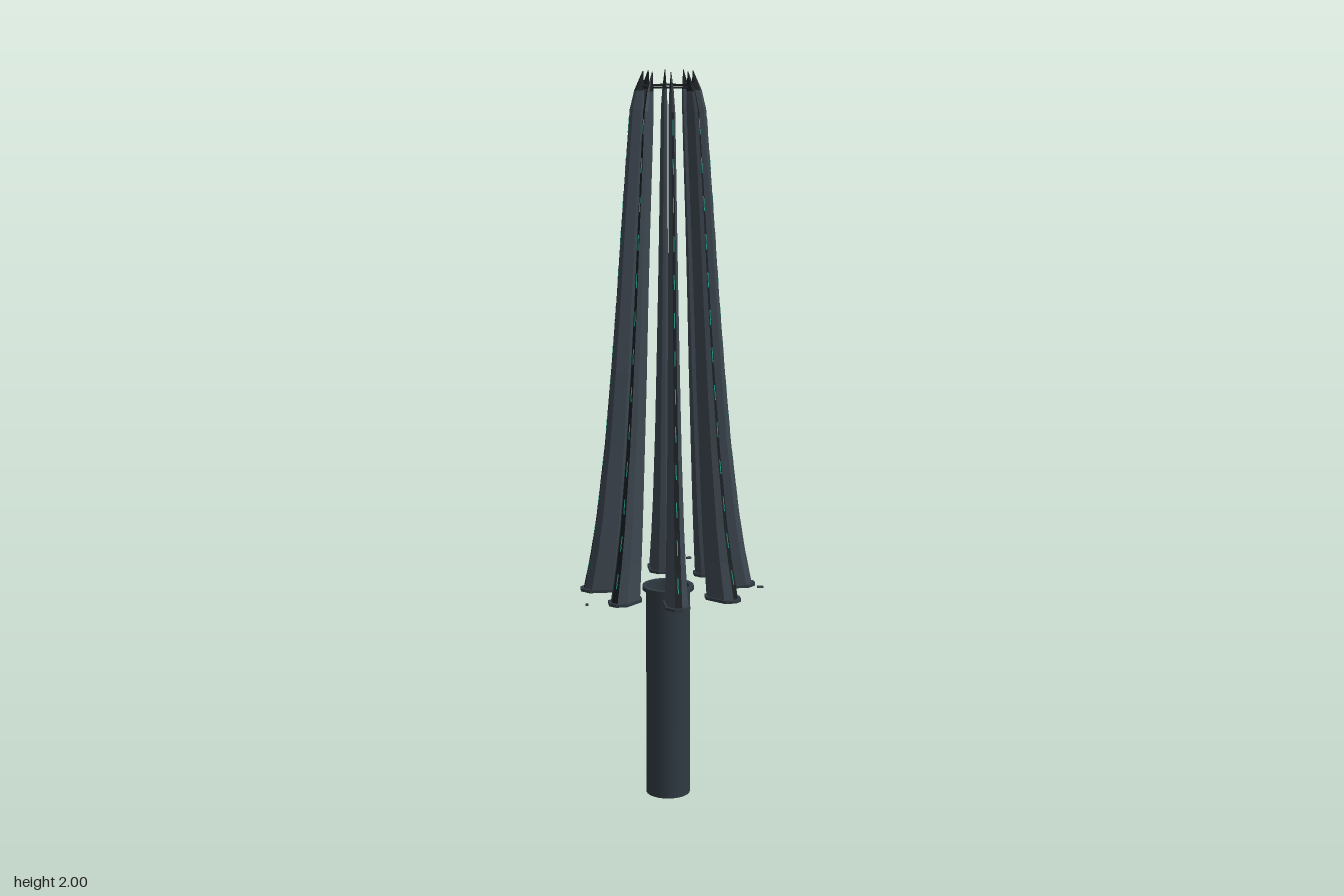
import * as THREE from 'three';

const mat = (name, color) => {
  const m = new THREE.MeshStandardMaterial({ color, side: THREE.DoubleSide });
  m.name = name;
  return m;
};

// rib stations: height, inner radius, outer radius, half width
const STATIONS = [
  [0.6, 0.14, 0.232, 0.028], [0.7, 0.13, 0.212, 0.024], [0.8, 0.122, 0.196, 0.021],
  [1.0, 0.11, 0.172, 0.017], [1.2, 0.099, 0.154, 0.0145], [1.4, 0.09, 0.138, 0.012],
  [1.6, 0.08, 0.124, 0.01], [1.8, 0.069, 0.109, 0.0085], [1.9, 0.064, 0.101, 0.0075],
  [1.95, 0.063, 0.089, 0.005], [2.0, 0.065, 0.067, 0.0008],
];

// long octagon in (radius, sideways); first edge is the outward flat
function octagon(inner, outer, b) {
  const c = (inner + outer) / 2, a = (outer - inner) / 2;
  const p = a * 0.6, q = b * 0.35;
  return [[a, -q], [a, q], [p, b], [-p, b], [-a, q], [-a, -q], [-p, -b], [p, -b]]
    .map(([r, t]) => [c + r, t]);
}

// flat-faced loft of the stations, keeping only the faces chosen by pick
function loft(pick) {
  const pos = [];
  for (let i = 0; i < STATIONS.length - 1; i++) {
    const [y0, ...s0] = STATIONS[i], [y1, ...s1] = STATIONS[i + 1];
    const lo = octagon(...s0), hi = octagon(...s1);
    for (let j = 0; j < 8; j++) {
      if (!pick(i, j)) continue;
      const k = (j + 1) % 8;
      const v = ([r, t], y) => [r, y, t];
      const A = v(lo[j], y0), B = v(lo[k], y0), C = v(hi[j], y1), D = v(hi[k], y1);
      pos.push(...A, ...C, ...B, ...B, ...C, ...D);
    }
  }
  const g = new THREE.BufferGeometry();
  g.setAttribute('position', new THREE.Float32BufferAttribute(pos, 3));
  g.computeVertexNormals();
  return g;
}

// outer radius of a rib at a height
function outerRadius(y) {
  let i = 0;
  while (i < STATIONS.length - 2 && STATIONS[i + 1][0] < y) i++;
  const a = STATIONS[i], b = STATIONS[i + 1];
  return THREE.MathUtils.lerp(a[2], b[2], (y - a[0]) / (b[0] - a[0]));
}

export function createModel() {
  const model = new THREE.Group();
  const steel = mat('slate steel', 0x3c464f);
  const handleMat = mat('dark steel', 0x303a42);
  const dark = mat('charcoal', 0x191e22);
  const teal = mat('teal glow', 0x1fa58a);

  const core = new THREE.Group();
  core.name = 'body';
  core.position.set(-0.01, 0, 0.025);
  model.add(core);
  const add = (parent, name, geo, material) => {
    const m = new THREE.Mesh(geo, material);
    m.name = name;
    parent.add(m);
    return m;
  };

  // hollow handle, its collar, and the thin ring joining the tips
  add(core, 'handle', new THREE.CylinderGeometry(0.061, 0.061, 0.595, 32, 1, true), handleMat)
    .position.y = 0.2975;
  const collar = [[0.058, 0.59], [0.071, 0.59], [0.071, 0.601], [0.058, 0.601], [0.058, 0.59]]
    .map(([x, y]) => new THREE.Vector2(x, y));
  const collarGeo = new THREE.LatheGeometry(collar, 32).toNonIndexed();
  collarGeo.computeVertexNormals();
  add(core, 'handleCollar', collarGeo, handleMat);
  const ring = add(core, 'tipRing', new THREE.TorusGeometry(0.067, 0.003, 6, 32), dark);
  ring.rotation.x = Math.PI / 2;
  ring.position.y = 1.96;

  // shared rib geometry
  const isDark = (i, j) => j === 0 || i === STATIONS.length - 2;
  const bodyGeo = loft((i, j) => !isDark(i, j));
  const grooveGeo = loft(isDark);
  const footShape = new THREE.Shape(octagon(0.134, 0.241, 0.033).map(([r, t]) => new THREE.Vector2(r, t)));
  const footGeo = new THREE.ExtrudeGeometry(footShape, { depth: 0.008, bevelEnabled: false });
  footGeo.rotateX(Math.PI / 2);
  footGeo.translate(0, 0.602, 0);

  for (let n = 0; n < 8; n++) {
    const rib = new THREE.Group();
    rib.name = 'rib' + (n + 1);
    rib.rotation.y = n * Math.PI / 4;
    core.add(rib);
    add(rib, 'ribBody', bodyGeo, steel);
    add(rib, 'ribGrooveAndTip', grooveGeo, dark);
    add(rib, 'ribFoot', footGeo, handleMat);

    // broken glowing line down the outer groove
    for (let y = 0.64; y < 1.85; y += 0.1) {
      const y1 = y + 0.04, r0 = outerRadius(y), r1 = outerRadius(y1);
      const dash = add(rib, 'glowDash', new THREE.BoxGeometry(0.002, Math.hypot(r1 - r0, y1 - y), 0.0026), teal);
      dash.position.set((r0 + r1) / 2, (y + y1) / 2, 0);
      dash.rotation.z = Math.atan2(r0 - r1, y1 - y);
    }
  }

  // small loose fragments around the foot
  const chip = (name, geo, x, z) => add(model, name, geo, steel).position.set(x, 0.597, z);
  chip('fragmentBack', new THREE.CylinderGeometry(0.008, 0.008, 0.005, 5), 0.085, -0.262);
  chip('fragmentSide', new THREE.BoxGeometry(0.017, 0.005, 0.009), 0.241, 0.061);
  chip('fragmentFront', new THREE.CylinderGeometry(0.005, 0.005, 0.005, 6), -0.247, 0.174);

  return model;
}
